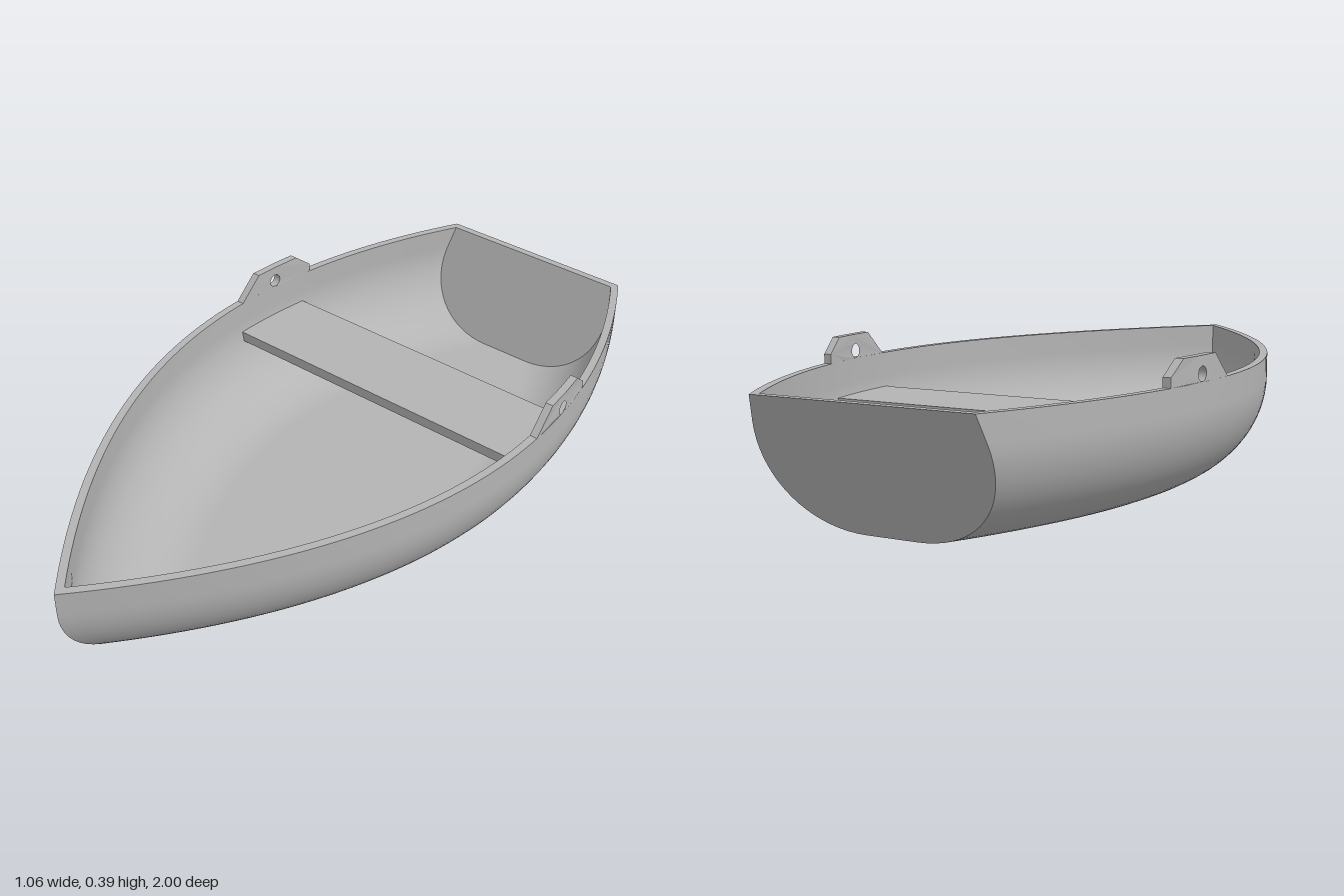
import * as THREE from 'three';

const RIM = 0.325, WALL = 0.022, RADIUS = 0.26, MID = -0.17;

// Half width of the boat at the rim, and its slope
const width = z => z > MID
  ? 0.53 * (1 - ((z - MID) / (1 - MID)) ** 2)
  : 0.53 - 0.23 * ((z - MID) / (1 + MID)) ** 2;
const slope = z => z > MID
  ? -1.06 * (z - MID) / (1 - MID) ** 2
  : -0.46 * (z - MID) / (1 + MID) ** 2;

// Rim outline moved inwards by d
function inset(z, d) {
  const s = slope(z), l = Math.hypot(1, s);
  return { x: width(z) - d / l, z: z + d * s / l };
}

function bisect(lo, hi, test) {
  for (let i = 0; i < 40; i++) {
    const m = (lo + hi) / 2;
    if (test(m)) lo = m; else hi = m;
  }
  return lo;
}

// One half of a hull skin: rows from rim to keel, each from bow to stern
function skinRows(thick) {
  const r = RADIUS - thick, levels = [[RIM, thick]];
  for (let i = 0; i <= 18; i++) {
    const a = i / 18 * Math.PI / 2;
    levels.push([RADIUS - r * Math.sin(a), thick + r * (1 - Math.cos(a))]);
  }
  const rows = levels.map(([y, d]) => {
    const stern = -1 + (RIM - y) * 0.37 + thick;
    const bow = bisect(0, 1, z => inset(z, d).x > 0);
    const end = bisect(-1.3, 0, z => inset(z, d).z < stern);
    const row = [];
    for (let j = 0; j <= 56; j++) {
      const p = inset(bow + (end - bow) * j / 56, d);
      row.push([j ? Math.max(p.x, 0) : 0, y, p.z]);
    }
    return row;
  });
  rows.push(rows[rows.length - 1].map(p => [0, p[1], p[2]])); // flat bottom
  return rows;
}

// Smooth surface through rows of points
function grid(rows, side, flip) {
  const n = rows[0].length, index = [];
  for (let i = 0; i < rows.length - 1; i++) for (let j = 0; j < n - 1; j++) {
    const a = i * n + j, b = a + n, c = a + 1, d = b + 1;
    if ((side < 0) !== flip) index.push(a, c, b, b, c, d);
    else index.push(a, b, c, b, d, c);
  }
  const g = new THREE.BufferGeometry();
  const pos = rows.flat().flatMap(p => [p[0] * side, p[1], p[2]]);
  g.setAttribute('position', new THREE.Float32BufferAttribute(pos, 3));
  g.setIndex(index);
  g.computeVertexNormals();
  return g;
}

export function createModel() {
  const boat = new THREE.Group();
  boat.name = 'rowingBoat';
  const grey = new THREE.MeshStandardMaterial({ color: 0xb4b4b4 });
  grey.name = 'grey';
  const add = (name, geometry) => {
    const mesh = new THREE.Mesh(geometry, grey);
    mesh.name = name;
    boat.add(mesh);
  };

  const outer = skinRows(0), inner = skinRows(WALL);
  const transom = rows => rows.map(row => {
    const p = row[row.length - 1];
    return [p, [0, p[1], p[2]]];
  });

  for (const side of [1, -1]) {
    const label = side > 0 ? 'left' : 'right';
    // Hull skins, stern board and rim
    add(label + 'HullOutside', grid(outer, side, false));
    add(label + 'HullInside', grid(inner, side, true));
    add(label + 'TransomOutside', grid(transom(outer), side, false));
    add(label + 'TransomInside', grid(transom(inner), side, true));
    const rim = [outer, inner].map(s => [...s[0], transom(s)[0][1]]);
    add(label + 'Rim', grid(rim, side, true));

    // Oar lug with a round hole, bent along the rim
    const shape = new THREE.Shape();
    const base = [[-0.2, RIM], [-0.27, 0.39], [-0.345, 0.39], [-0.42, 0.39], [-0.47, 0.35],
      [-0.47, RIM], [-0.4, RIM], [-0.335, RIM], [-0.27, RIM]];
    shape.setFromPoints(base.map(([z, y]) => new THREE.Vector2(-side * z, y)));
    const hole = new THREE.Path();
    hole.absarc(side * 0.335, 0.345, 0.019, 0, Math.PI * 2, true);
    shape.holes.push(hole);
    const lug = new THREE.ExtrudeGeometry(shape, { depth: WALL, bevelEnabled: false, curveSegments: 16 });
    const p = lug.attributes.position;
    for (let i = 0; i < p.count; i++) {
      const z = -side * p.getX(i);
      p.setXYZ(i, side * (width(z) - WALL + p.getZ(i)), p.getY(i), z);
    }
    lug.computeVertexNormals();
    add(label + 'OarLug', lug);
  }

  // Bench reaching both inner walls
  const edge = [];
  for (let i = 0; i <= 6; i++) {
    const z = -0.19 - 0.25 * i / 6;
    edge.push(new THREE.Vector2(width(z) - WALL + 0.003, -z));
  }
  const mirrored = edge.map(v => new THREE.Vector2(-v.x, v.y)).reverse();
  const bench = new THREE.ExtrudeGeometry(new THREE.Shape([...edge, ...mirrored]), { depth: 0.03, bevelEnabled: false });
  bench.rotateX(-Math.PI / 2).translate(0, 0.2, 0);
  add('bench', bench);

  return boat;
}
